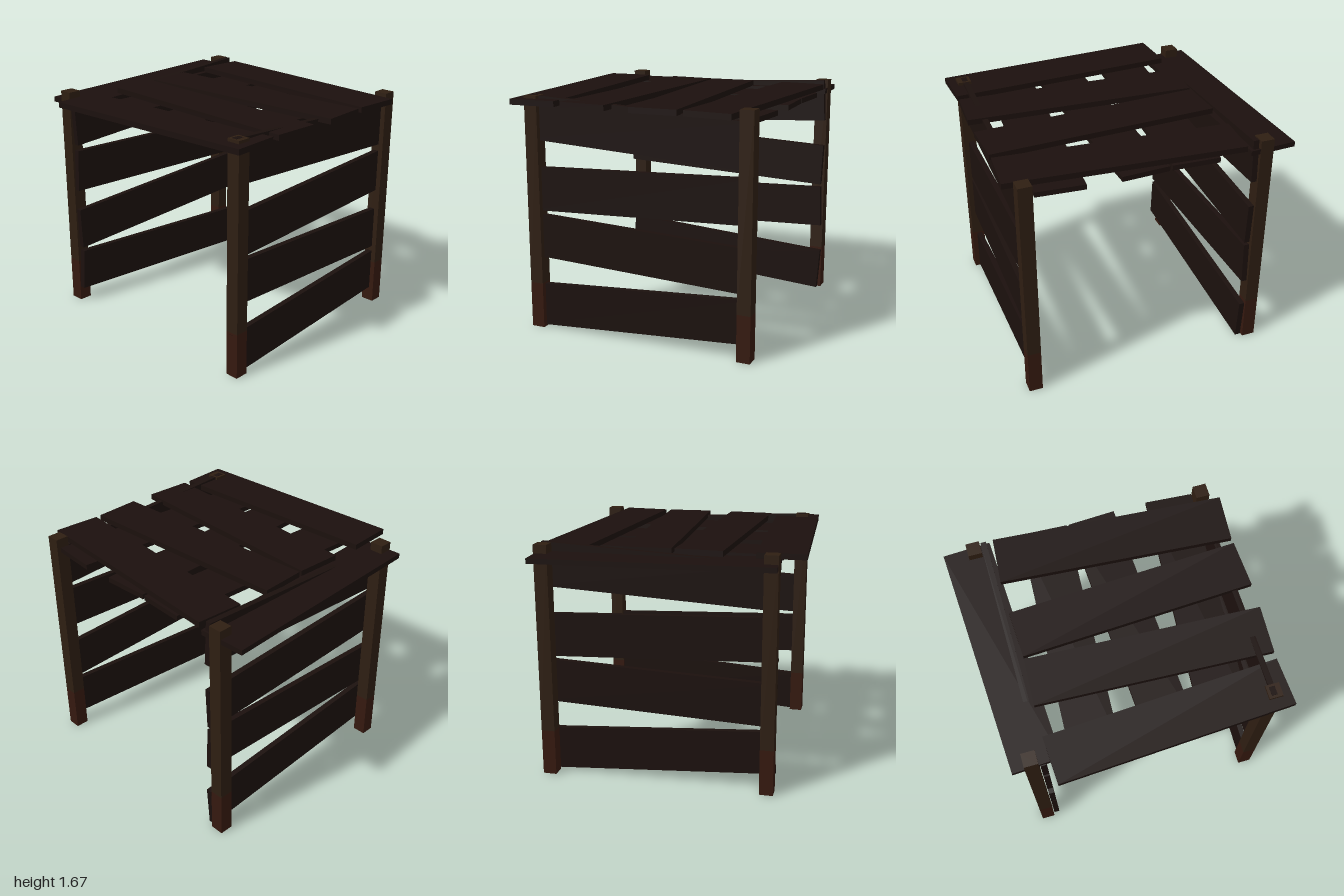
import * as THREE from 'three';

const paint = (color) => new THREE.MeshStandardMaterial({ color, flatShading: true });
const plankMaterial = paint(0x1b100d);
const postMaterial = paint(0x2e1e12);
const postFootMaterial = paint(0x35190f);

function box(name, w, h, d, material, x, y, z) {
  const mesh = new THREE.Mesh(new THREE.BoxGeometry(w, h, d), material);
  mesh.name = name;
  mesh.position.set(x, y, z);
  return mesh;
}

// Flat roof plank running between two [x, z] points
function roofPlank(name, [x0, z0], [x1, z1], y, thickness) {
  const dx = x1 - x0, dz = z1 - z0;
  const mesh = box(name, Math.hypot(dx, dz), thickness, 0.335, plankMaterial, (x0 + x1) / 2, y, (z0 + z1) / 2);
  mesh.rotation.y = -Math.atan2(dz, dx);
  return mesh;
}

// Wall of four crooked boards: [centre height, slope]
function wall(name) {
  const group = new THREE.Group();
  group.name = name;
  [[0.215, 0.068], [0.645, -0.041], [1.045, 0.041], [1.475, -0.053]].forEach(([y, slope], i) => {
    const board = box(`${name}Board${i + 1}`, 1.645, 0.31, 0.04, plankMaterial, 0, y, 0);
    board.rotation.z = Math.atan(slope);
    group.add(board);
  });
  return group;
}

export function createModel() {
  const model = new THREE.Group();
  model.name = 'plankShelter';

  // Corner posts with darker red feet
  for (const x of [-0.703, 0.865]) {
    for (const z of [0.883, -0.782]) {
      const post = new THREE.Group();
      post.name = 'cornerPost';
      post.add(box('postFoot', 0.096, 0.33, 0.096, postFootMaterial, x, 0.165, z));
      post.add(box('postShaft', 0.096, 1.34, 0.096, postMaterial, x, 1.0, z));
      model.add(post);
    }
  }

  // Front wall set between the posts, back wall turned round and set inside them
  const front = wall('frontWall');
  front.position.set(0.08, 0, 0.875);
  const back = wall('backWall');
  back.position.set(0.08, 0, -0.706);
  back.rotation.y = Math.PI;
  model.add(front, back);

  // Lower roof layer, running side to side
  [
    [[-0.745, -0.747], [0.905, -0.832]],
    [[-0.745, -0.353], [0.905, -0.272]],
    [[-0.745, 0.162], [0.905, 0.08]],
    [[-0.745, 0.537], [0.905, 0.655]],
  ].forEach(([a, b], i) => model.add(roofPlank(`lowerRoofPlank${i + 1}`, a, b, 1.592, 0.036)));

  // Upper roof layer, running back to front
  [
    [[-0.745, -0.655], [-0.655, 0.988]],
    [[-0.19, -0.655], [-0.267, 0.988]],
    [[0.165, -0.655], [0.247, 0.988]],
    [[0.74, -0.65], [0.622, 0.988]],
  ].forEach(([a, b], i) => model.add(roofPlank(`upperRoofPlank${i + 1}`, a, b, 1.63, 0.04)));

  return model;
}
